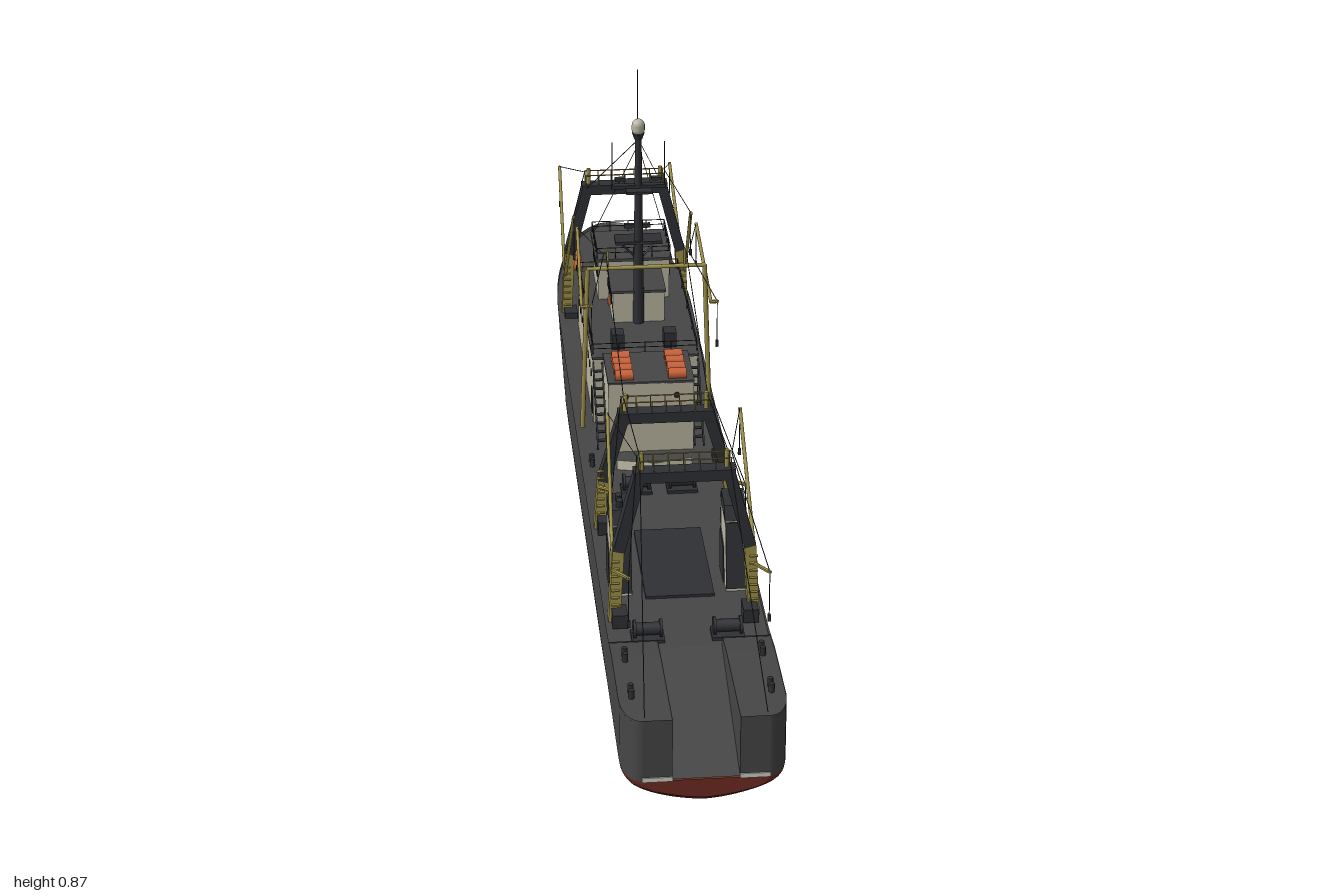
import * as THREE from 'three';

const mat = (name, color, side = THREE.FrontSide) => {
  const m = new THREE.MeshStandardMaterial({ color, side });
  m.name = name;
  return m;
};
const { lerp, clamp } = THREE.MathUtils;

// piecewise linear curve through [key, value] points with ascending keys
const curve = pts => k => {
  if (k <= pts[0][0]) return pts[0][1];
  for (let i = 1; i < pts.length; i++) {
    const [a, va] = pts[i - 1], [b, vb] = pts[i];
    if (k <= b) return lerp(va, vb, (k - a) / (b - a));
  }
  return pts[pts.length - 1][1];
};

// hull lines: stem position by height, keel and sheer height by length
const WL = 0.135;
const stem = curve([[0, -0.72], [0.02, -0.78], [0.06, -0.81], [0.09, -0.83], [WL, -0.88], [0.2, -0.945], [0.255, -1]]);
const keel = curve([[-1, 0.004], [0.5, 0.004], [0.58, 0.02], [0.72, 0.048], [0.9, 0.065], [0.97, 0.078], [1, 0.1]]);
const sheer = curve([[-1, 0.255], [-0.85, 0.25], [-0.5, 0.237], [0.7, 0.235], [0.78, 0.246], [1, 0.25]]);
const deckY = curve([[-1, 0.25], [-0.85, 0.245], [-0.53, 0.234], [-0.45, 0.22], [0.72, 0.22]]);
const station = u => 1 - 2 * u;
const hullZ = (u, y) => 1 + (stem(y) - 1) * u;
function halfBeam(u, y) {
  const z = hullZ(u, y), flare = clamp((y - WL) / 0.11, 0, 1);
  const q = clamp((z - stem(y)) / lerp(0.52, 0.4, flare), 0, 1);
  const d = clamp((1 - z) / 0.07, 0, 1);
  const stern = 0.76 + 0.24 * Math.sqrt(1 - (1 - d) ** 2);
  return 0.137 * stern * Math.pow(1 - (1 - q) ** 2, lerp(1, 0.5, flare));
}

// surface from a rule f(u, v) -> [x, y, z]
function grid(f, nu, nv) {
  const pos = [], idx = [];
  for (let i = 0; i <= nu; i++) for (let j = 0; j <= nv; j++) pos.push(...f(i / nu, j / nv));
  for (let i = 0; i < nu; i++) for (let j = 0; j < nv; j++) {
    const a = i * (nv + 1) + j, b = a + nv + 1;
    idx.push(a, b, a + 1, b, b + 1, a + 1);
  }
  const g = new THREE.BufferGeometry();
  g.setAttribute('position', new THREE.Float32BufferAttribute(pos, 3));
  g.setIndex(idx);
  g.computeVertexNormals();
  return g;
}

export function createModel() {
  const root = new THREE.Group();
  const grey = mat('hullGrey', 0x464646, THREE.DoubleSide);
  const red = mat('bottomRed', 0x702c22, THREE.DoubleSide);
  const dark = mat('darkSteel', 0x2f3034);
  const beige = mat('houseBeige', 0xbab6a2);
  const yellow = mat('mastYellow', 0x9e9148);
  const orange = mat('raftOrange', 0xcc6238);
  const white = mat('lineWhite', 0xd2d0c6, THREE.DoubleSide);
  const glass = mat('windowDark', 0x202327);

  const add = (name, geo, m, x = 0, y = 0, z = 0) => {
    const mesh = new THREE.Mesh(geo, m);
    mesh.name = name;
    mesh.position.set(x, y, z);
    root.add(mesh);
    return mesh;
  };
  const box = (name, m, w, h, d, x, y, z) => add(name, new THREE.BoxGeometry(w, h, d), m, x, y, z);
  const between = (mesh, a, b) => {
    mesh.position.copy(a).lerp(b, 0.5);
    mesh.quaternion.setFromUnitVectors(new THREE.Vector3(0, 1, 0), b.clone().sub(a).normalize());
    return mesh;
  };
  const rod = (name, m, p, q, r, sides = 8) => {
    const a = new THREE.Vector3(...p), b = new THREE.Vector3(...q);
    return between(add(name, new THREE.CylinderGeometry(r, r, a.distanceTo(b), sides), m), a, b);
  };
  const bar = (name, m, p, q, w, d) => {
    const a = new THREE.Vector3(...p), b = new THREE.Vector3(...q);
    return between(add(name, new THREE.BoxGeometry(w, a.distanceTo(b), d), m), a, b);
  };
  const wire = (p, q) => rod('rigging', dark, p, q, 0.0008, 4);
  const ease = u => 0.5 - 0.5 * Math.cos(Math.PI * u);

  // underwater hull with transom and bulb
  const bottom = (u, v) => {
    const a = 2 * v - 1, t = a * a, k = keel(station(u)), y = lerp(k, WL, t);
    const x = Math.sign(a) * halfBeam(u, WL) * Math.pow(1 - (1 - t) ** 2, 0.65);
    return [x, y, hullZ(u, y)];
  };
  add('hullBottom', grid((u, v) => bottom(ease(u), v), 70, 28), red);
  add('bottomTransom', grid((u, v) => {
    const [x, y] = bottom(0, 0.5 + u / 2);
    return [x * (2 * v - 1), y, 1];
  }, 14, 2), red);
  add('bulbousBow', new THREE.SphereGeometry(1, 24, 16), red, 0, 0.036, -0.845).scale.set(0.023, 0.032, 0.088);

  // topsides, stern quarters and ramp
  const RX = 0.055, rampY = z => lerp(0.137, 0.22, (1 - z) / 0.28);
  for (const s of [-1, 1]) {
    add('topside', grid((u, v) => {
      const e = ease(u), y = lerp(WL, sheer(station(e)), v);
      return [s * halfBeam(e, y), y, hullZ(e, y)];
    }, 70, 8), grey);
    add('sternQuarterDeck', grid((u, v) => {
      const e = 0.14 * u * u, y = sheer(station(e)) - 0.005;
      return [s * lerp(RX, halfBeam(e, y), v), y, hullZ(e, y)];
    }, 16, 2), grey);
    add('sternQuarterFront', grid((u, v) => [s * lerp(RX, 0.137, u), lerp(0.215, 0.233, v), 0.72], 1, 1), grey);
    add('sternQuarterEnd', grid((u, v) => {
      const y = lerp(WL, 0.25, v);
      return [s * lerp(RX, halfBeam(0, y), u), y, 1];
    }, 1, 4), grey);
    add('rampWall', grid((u, v) => {
      const z = lerp(0.72, 1, u);
      return [s * RX, lerp(rampY(z), sheer(z), v), z];
    }, 8, 1), grey);
    box('sternLine', white, 0.05, 0.008, 0.004, s * 0.08, 0.138, 1);
  }
  add('sternRamp', grid((u, v) => {
    const z = lerp(0.72, 1, u);
    return [RX * (2 * v - 1), rampY(z), z];
  }, 1, 1), grey);
  add('deck', grid((u, v) => {
    const e = lerp(0.14, 1, Math.sin(u * Math.PI / 2)), y = deckY(station(e));
    return [(2 * v - 1) * halfBeam(e, y), y, hullZ(e, y)];
  }, 60, 4), grey);
  box('fishHatch', dark, 0.12, 0.006, 0.24, 0, 0.222, 0.44);

  // deckhouse: extruded side profile with a raked front
  const prism = (name, m, pts, width, x) => {
    const g = new THREE.ExtrudeGeometry(new THREE.Shape(pts.map(([z, y]) => new THREE.Vector2(-z, y))), { depth: width, bevelEnabled: false });
    g.translate(0, 0, -width / 2).rotateY(Math.PI / 2);
    return add(name, g, m, x);
  };
  box('aftHouse', beige, 0.16, 0.145, 0.13, 0, 0.288, -0.06);
  box('aftHouseRoof', grey, 0.162, 0.005, 0.13, 0, 0.362, -0.06);
  prism('deckHouse', beige, [[-0.12, 0.215], [-0.54, 0.215], [-0.515, 0.355], [-0.12, 0.355]], 0.2, 0);
  box('deckHouseRoof', grey, 0.204, 0.005, 0.4, 0, 0.357, -0.317);
  box('chartRoom', beige, 0.1, 0.065, 0.13, 0, 0.39, -0.335);
  box('chartRoomRoof', grey, 0.106, 0.005, 0.14, 0, 0.425, -0.335);
  prism('wheelHouse', beige, [[-0.38, 0.358], [-0.505, 0.358], [-0.51, 0.44], [-0.38, 0.44]], 0.14, 0);
  box('wheelHouseRoof', grey, 0.15, 0.006, 0.14, 0, 0.443, -0.447);
  for (let i = -3; i <= 3; i++) box('frontWindow', glass, 0.015, 0.024, 0.006, i * 0.0185, 0.416, -0.509);
  for (const s of [-1, 1]) {
    for (let i = 0; i < 4; i++) box('bridgeWindow', glass, 0.003, 0.024, 0.02, s * 0.0705, 0.416, -0.398 - i * 0.029);
    for (let i = 0; i < 3; i++) box('chartRoomWindow', glass, 0.003, 0.018, 0.016, s * 0.0505, 0.4, -0.295 - i * 0.035);
    for (let i = 0; i < 9; i++) box('cabinWindow', glass, 0.003, 0.011, 0.011, s * 0.1005, 0.308, -0.16 - i * 0.04);
    box('houseDoor', dark, 0.004, 0.05, 0.02, s * 0.1, 0.26, -0.14);
    rod('porthole', glass, [s * 0.048, 0.335, 0.003], [s * 0.048, 0.335, 0.007], 0.006, 12);
    for (let i = -1; i <= 1; i++) box('houseFrontWindow', glass, 0.011, 0.011, 0.006, s * 0.05 + i * 0.022, 0.31, -0.523);
    const ring = add('lifeRing', new THREE.TorusGeometry(0.007, 0.0025, 6, 12), orange, s * 0.053, 0.378, -0.33);
    ring.rotation.y = Math.PI / 2;
    // stairs beside the aft house
    for (const dx of [0.083, 0.1]) bar('stairRail', dark, [s * dx, 0.225, 0], [s * dx, 0.35, -0.115], 0.003, 0.008);
    for (let i = 1; i < 10; i++) box('stairStep', dark, 0.018, 0.002, 0.009, s * 0.0915, 0.225 + i * 0.0125, -i * 0.0115);
    box('roofVent', dark, 0.024, 0.03, 0.03, s * 0.05, 0.377, -0.16);
    // raft canisters aft of the bridge and on the foredeck
    for (let i = 0; i < 4; i++) for (const [x, y, z] of [[0.05, 0.372, -0.012], [0.092, 0.257, -0.775]]) {
      rod('raftCanister', orange, [s * (x - 0.017), y, z - i * 0.027], [s * (x + 0.017), y, z - i * 0.027], 0.0105, 10);
    }
    // funnel with dark top and aft panel
    prism('funnel', beige, [[0.545, 0.22], [0.455, 0.22], [0.455, 0.352], [0.522, 0.345]], 0.036, s * 0.1);
    prism('funnelTop', dark, [[0.523, 0.342], [0.455, 0.352], [0.455, 0.374], [0.51, 0.37]], 0.038, s * 0.1);
    prism('funnelSide', dark, [[0.515, 0.22], [0.453, 0.22], [0.453, 0.3], [0.505, 0.285]], 0.04, s * 0.1);
    bar('funnelAftPanel', dark, [s * 0.1, 0.225, 0.545], [s * 0.1, 0.343, 0.523], 0.036, 0.005);
    for (let i = 0; i < 2; i++) rod('exhaustPipe', dark, [s * 0.1, 0.36, 0.475 + i * 0.02], [s * 0.1, 0.385, 0.48 + i * 0.02], 0.006);
  }

  // railing around a rectangular roof
  const railing = (x, y, z0, z1, h) => {
    const c = [[-x, z0], [x, z0], [x, z1], [-x, z1]];
    c.forEach(([ax, az], i) => {
      const [bx, bz] = c[(i + 1) % 4];
      for (const k of [0.55, 1]) rod('rail', dark, [ax, y + h * k, az], [bx, y + h * k, bz], 0.0009, 4);
      for (let j = 0; j < 4; j++) {
        const px = lerp(ax, bx, j / 4), pz = lerp(az, bz, j / 4);
        rod('stanchion', dark, [px, y, pz], [px, y + h, pz], 0.0009, 4);
      }
    });
  };
  railing(0.072, 0.446, -0.513, -0.382, 0.022);
  railing(0.099, 0.36, -0.51, -0.13, 0.022);

  // portal gantries: yellow lower legs, dark leaning upper legs
  const gantry = (z, top, knee) => {
    for (const s of [-1, 1]) {
      bar('gantryFoot', yellow, [s * 0.12, 0.22, z], [s * 0.112, knee, z], 0.02, 0.024);
      bar('gantryLeg', dark, [s * 0.112, knee - 0.005, z], [s * 0.076, top, z], 0.02, 0.026);
      rod('gantryPost', yellow, [s * 0.072, top, z], [s * 0.072, top + 0.042, z], 0.004);
      box('gantryBlock', dark, 0.026, 0.025, 0.04, s * 0.112, 0.235, z + 0.02);
      for (let i = 0; i < 8; i++) box('legRung', yellow, 0.014, 0.002, 0.006, s * 0.118, 0.24 + i * 0.014, z + 0.014);
    }
    box('gantryBeam', dark, 0.172, 0.02, 0.028, 0, top, z);
    for (const dz of [-0.013, 0.013]) {
      rod('gantryRail', yellow, [-0.08, top + 0.032, z + dz], [0.08, top + 0.032, z + dz], 0.0013, 5);
      for (let i = -3; i <= 3; i++) rod('gantryStanchion', yellow, [i * 0.026, top, z + dz], [i * 0.026, top + 0.032, z + dz], 0.001, 5);
    }
  };
  gantry(0.62, 0.495, 0.36);
  gantry(0.29, 0.44, 0.32);
  gantry(-0.6, 0.505, 0.37);

  // cargo booms: foot and tip as [z, y], then the head that holds the topping wire
  const booms = [
    [[0.61, 0.31], [0.87, 0.44], [0.62, 0.53]], [[0.63, 0.32], [0.435, 0.52], [0.62, 0.53]],
    [[0.29, 0.3], [0.53, 0.42], [0.29, 0.475]], [[-0.6, 0.3], [-0.85, 0.45], [-0.6, 0.54]],
    [[-0.59, 0.32], [-0.41, 0.525], [-0.6, 0.54]], [[-0.1, 0.475], [0.07, 0.555], [-0.1, 0.58]],
    [[-0.1, 0.475], [-0.31, 0.545], [-0.1, 0.58]],
  ];
  for (const s of [-1, 1]) {
    for (const [foot, tip, head] of booms) {
      rod('cargoBoom', yellow, [s * 0.122, foot[1], foot[0]], [s * 0.115, tip[1], tip[0]], 0.0035, 6);
      wire([s * 0.115, tip[1], tip[0]], [s * 0.08, head[1], head[0]]);
      wire([s * 0.115, tip[1], tip[0]], [s * 0.115, tip[1] - 0.08, tip[0]]);
      box('boomHook', dark, 0.005, 0.012, 0.005, s * 0.115, tip[1] - 0.085, tip[0]);
    }
    // slim goalpost behind the bridge
    rod('goalpostLeg', yellow, [s * 0.122, 0.22, -0.105], [s * 0.11, 0.55, -0.105], 0.0045);
    rod('goalpostTip', yellow, [s * 0.072, 0.55, -0.105], [s * 0.072, 0.585, -0.105], 0.0025, 6);
    // stays
    wire([s * 0.1, 0.25, 0.99], [s * 0.075, 0.53, 0.62]);
    wire([s * 0.075, 0.53, 0.62], [s * 0.075, 0.475, 0.29]);
    wire([s * 0.075, 0.475, 0.29], [s * 0.075, 0.58, -0.105]);
    wire([0, 0.74, -0.27], [s * 0.08, 0.5, -0.6]);
    wire([0, 0.73, -0.27], [s * 0.07, 0.45, -0.5]);
  }
  rod('goalpostBeam', yellow, [-0.112, 0.55, -0.105], [0.112, 0.55, -0.105], 0.004);

  // main mast with crosstrees, radar and dome
  add('mainMast', new THREE.CylinderGeometry(0.006, 0.011, 0.4, 12), dark, 0, 0.555, -0.27);
  add('domeBase', new THREE.CylinderGeometry(0.012, 0.008, 0.012, 12), dark, 0, 0.748, -0.27);
  add('radarDome', new THREE.CapsuleGeometry(0.0125, 0.008, 6, 14), beige, 0, 0.765, -0.27);
  rod('topAntenna', dark, [0, 0.77, -0.285], [0, 0.875, -0.285], 0.001, 5);
  box('crosstree', dark, 0.104, 0.007, 0.012, 0, 0.645, -0.27);
  box('mastPlatform', dark, 0.05, 0.005, 0.07, 0, 0.64, -0.28);
  box('lowerPlatform', dark, 0.09, 0.006, 0.04, 0, 0.53, -0.28);
  box('radarScanner', dark, 0.05, 0.008, 0.008, 0, 0.55, -0.3);
  add('smallDome', new THREE.SphereGeometry(0.008, 12, 8), beige, 0, 0.66, -0.3);
  for (const s of [-1, 1]) {
    rod('whipAntenna', dark, [s * 0.05, 0.645, -0.27], [s * 0.05, 0.735, -0.27], 0.0011, 5);
    box('mastLamp', dark, 0.02, 0.006, 0.01, s * 0.035, 0.66, -0.27);
    rod('mastStrut', dark, [s * 0.04, 0.53, -0.28], [0, 0.49, -0.27], 0.002, 5);
  }

  // winches, breakwaters and bollards
  const winch = (x, y, z) => {
    box('winchBed', dark, 0.056, 0.006, 0.04, x, y + 0.003, z);
    rod('winchDrum', dark, [x - 0.022, y + 0.018, z], [x + 0.022, y + 0.018, z], 0.011, 12);
    for (const s of [-1, 1]) rod('winchFlange', dark, [x + s * 0.02, y + 0.018, z], [x + s * 0.025, y + 0.018, z], 0.016, 12);
  };
  for (const s of [-1, 1]) {
    winch(s * 0.042, 0.22, 0.16);
    winch(s * 0.068, 0.22, 0.69);
    for (const z of [0.9, 0.78, 0.2, 0.04, -0.66, -0.72]) {
      const y = z > 0.72 ? sheer(z) - 0.005 : deckY(z);
      for (const dz of [0, 0.018]) rod('bollard', dark, [s * 0.115, y, z + dz], [s * 0.115, y + 0.016, z + dz], 0.005);
    }
    bar('anchor', dark, [s * 0.092, 0.22, -0.85], [s * 0.08, 0.19, -0.845], 0.012, 0.02);
    for (const [y, z] of [[0.228, 0.09], [0.243, -0.69]])
      bar('breakwater', beige, [0, y, z], [s * 0.07, y, z + (z > 0 ? -0.018 : 0.018)], 0.018, 0.003);
  }
  winch(0, 0.245, -0.81);
  return root;
}
